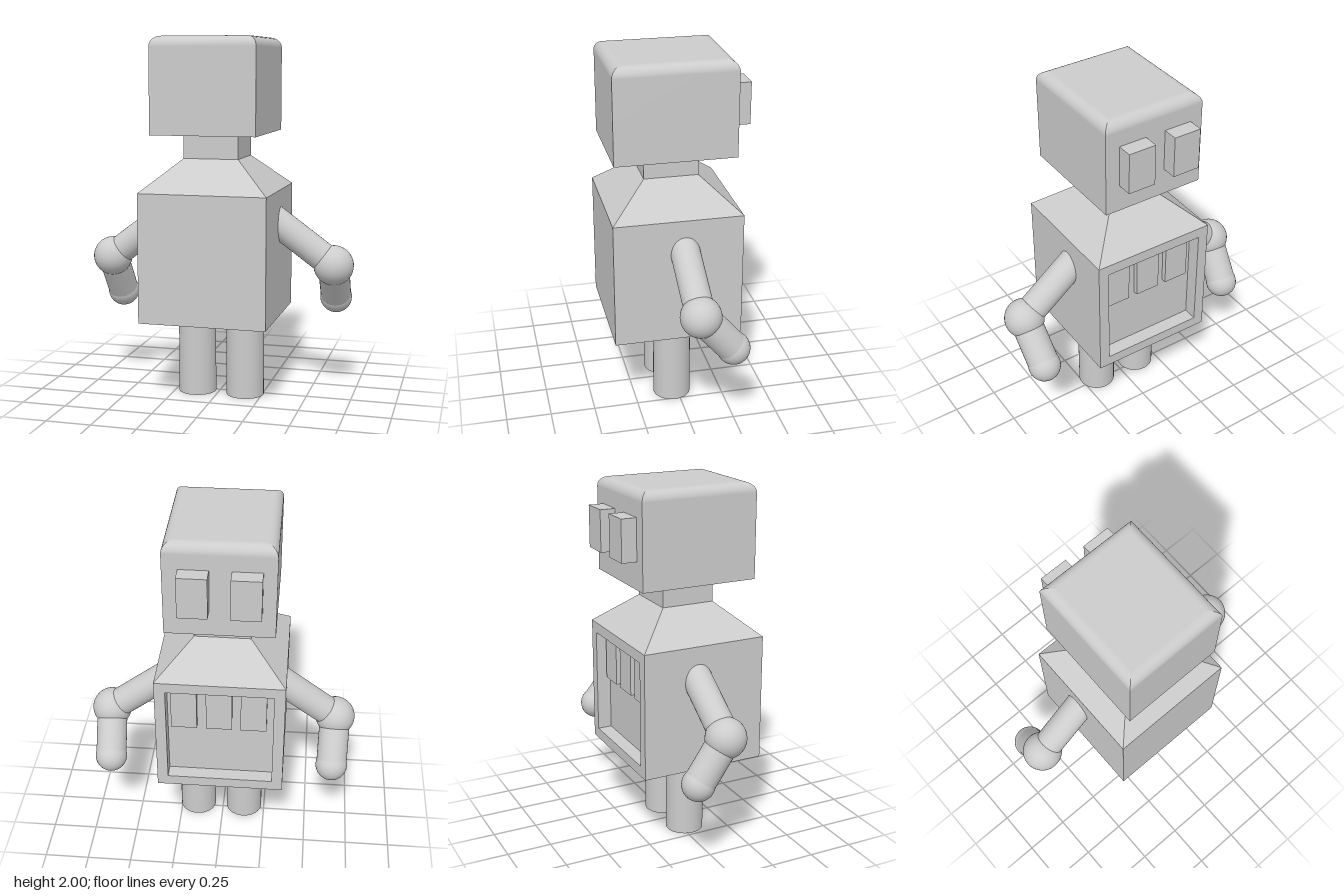
import * as THREE from 'three';

const gray = new THREE.MeshStandardMaterial({ color: 0xcccccc });
gray.name = 'lightGray';

function add(parent, name, geometry) {
  const mesh = new THREE.Mesh(geometry, gray);
  mesh.name = name;
  parent.add(mesh);
  return mesh;
}

// Box given by its limits on each axis
function block(parent, name, [x0, x1], [y0, y1], [z0, z1]) {
  const mesh = add(parent, name, new THREE.BoxGeometry(x1 - x0, y1 - y0, z1 - z0));
  mesh.position.set((x0 + x1) / 2, (y0 + y1) / 2, (z0 + z1) / 2);
  return mesh;
}

// Stack of rectangles [y, x0, x1, z0, z1]; each side is smooth along its height, corners stay sharp
function rectLoft(rings) {
  const pos = [], idx = [];
  const corners = ([y, x0, x1, z0, z1]) => [[x0, y, z1], [x1, y, z1], [x1, y, z0], [x0, y, z0]];
  for (let s = 0; s < 4; s++) {
    const base = pos.length / 3;
    rings.forEach((ring, i) => {
      const c = corners(ring);
      pos.push(...c[s], ...c[(s + 1) % 4]);
      if (i > 0) {
        const a = base + (i - 1) * 2;
        idx.push(a, a + 1, a + 3, a, a + 3, a + 2);
      }
    });
  }
  // End caps
  const bottom = pos.length / 3;
  pos.push(...corners(rings[0]).flat(), ...corners(rings[rings.length - 1]).flat());
  idx.push(bottom, bottom + 2, bottom + 1, bottom, bottom + 3, bottom + 2);
  const top = bottom + 4;
  idx.push(top, top + 1, top + 2, top, top + 2, top + 3);
  const g = new THREE.BufferGeometry();
  g.setAttribute('position', new THREE.Float32BufferAttribute(pos, 3));
  g.setIndex(idx);
  g.computeVertexNormals();
  return g;
}

// Cylinder between two points
function rod(parent, name, from, to, radius) {
  const dir = to.clone().sub(from);
  const mesh = add(parent, name, new THREE.CylinderGeometry(radius, radius, dir.length(), 32));
  mesh.position.copy(from).add(to).multiplyScalar(0.5);
  mesh.quaternion.setFromUnitVectors(new THREE.Vector3(0, 1, 0), dir.normalize());
}

function ball(parent, name, at, radius) {
  add(parent, name, new THREE.SphereGeometry(radius, 32, 20)).position.copy(at);
}

function rectPath(path, x0, x1, y0, y1) {
  path.moveTo(x0, y0);
  path.lineTo(x1, y0);
  path.lineTo(x1, y1);
  path.lineTo(x0, y1);
  path.closePath();
  return path;
}

export function createModel() {
  const robot = new THREE.Group();
  robot.name = 'robot';

  // Torso with a recessed panel on the -z side
  const X0 = -0.36, X1 = 0.345, Y0 = 0.46, Y1 = 1.17, Z0 = -0.325, Z1 = 0.385;
  const depth = 0.08, rim = 0.06;
  block(robot, 'torso', [X0, X1], [Y0, Y1], [Z0 + depth, Z1]);
  const frame = rectPath(new THREE.Shape(), X0, X1, Y0, Y1);
  frame.holes.push(rectPath(new THREE.Path(), X0 + rim, X1 - rim, Y0 + rim, Y1 - rim));
  add(robot, 'panelFrame', new THREE.ExtrudeGeometry(frame, { depth, bevelEnabled: false })).position.z = Z0;
  for (const x of [-0.19, 0, 0.193]) {
    block(robot, 'panelKey', [x - 0.071, x + 0.071], [0.84, 1.08], [Z0 + 0.05, Z0 + depth + 0.01]);
  }

  // Sloped shoulders and neck
  add(robot, 'shoulders', rectLoft([[Y1, X0, X1, Z0, Z1], [1.345, -0.16, 0.145, -0.12, 0.18]]));
  block(robot, 'neck', [-0.16, 0.145], [1.34, 1.49], [-0.12, 0.18]);

  // Head with rounded top edges
  const rings = [[1.48, -0.295, 0.282, -0.3, 0.362]];
  const r = 0.055, steps = 8;
  for (let i = 0; i <= steps; i++) {
    const a = (i / steps) * Math.PI / 2;
    const inset = r * (1 - Math.cos(a));
    rings.push([2 - r + r * Math.sin(a), -0.295 + inset, 0.282 - inset, -0.3 + inset, 0.362 - inset]);
  }
  add(robot, 'head', rectLoft(rings));
  for (const x of [-0.147, 0.123]) {
    block(robot, 'eye', [x - 0.078, x + 0.078], [1.63, 1.86], [-0.385, -0.29]);
  }

  // Legs
  for (const x of [-0.127, 0.153]) {
    add(robot, 'leg', new THREE.CylinderGeometry(0.106, 0.106, 0.48, 32)).position.set(x, 0.24, 0.03);
  }

  // Arms, each bent a little differently
  const V = (x, y, z) => new THREE.Vector3(x, y, z);
  const arms = [
    ['leftArm', V(0.2, 1.08, 0), V(0.64, 0.755, -0.018), V(0.63, 0.54, -0.2)],
    ['rightArm', V(-0.215, 1.08, -0.01), V(-0.642, 0.755, 0.005), V(-0.635, 0.52, -0.15)],
  ];
  for (const [name, shoulder, elbow, hand] of arms) {
    const arm = new THREE.Group();
    arm.name = name;
    rod(arm, 'upperArm', shoulder, elbow, 0.081);
    ball(arm, 'elbow', elbow, 0.111);
    rod(arm, 'forearm', elbow, hand, 0.086);
    ball(arm, 'hand', hand, 0.09);
    robot.add(arm);
  }
  return robot;
}
